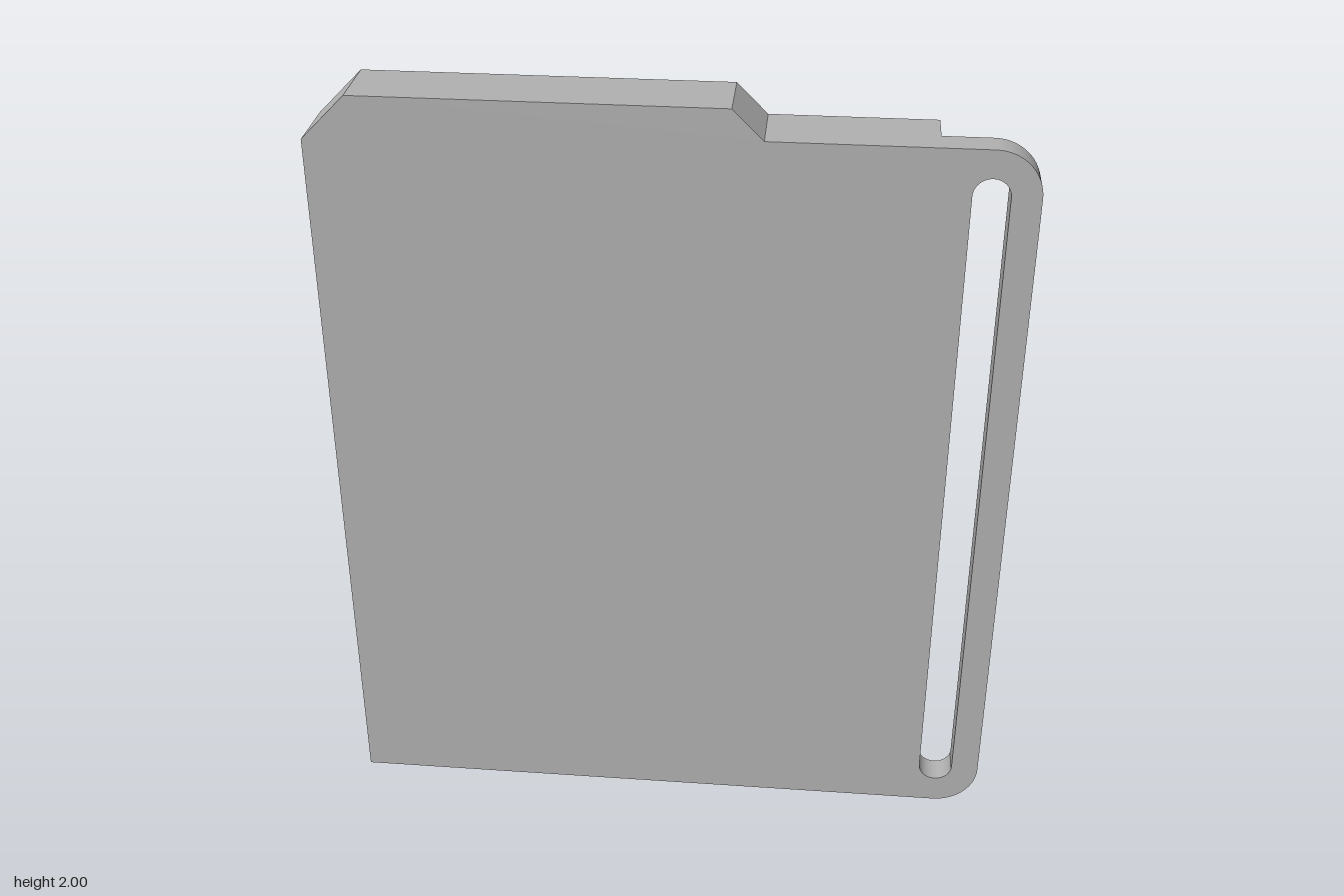
import * as THREE from 'three';

const FRONT = 0.0865, FLOOR = 0.0135, BACK = -0.0865;

function extrude(shape, z0, z1) {
  const g = new THREE.ExtrudeGeometry(shape, { depth: z1 - z0, bevelEnabled: false, curveSegments: 16 });
  return g.translate(0, 0, z0);
}

// Front plate outline with chamfered tab and rounded slotted edge
function plateShape() {
  const s = new THREE.Shape();
  const r = 0.115, cx = 0.74;
  s.moveTo(-0.855, 0);
  s.lineTo(cx, 0);
  s.absarc(cx, r, r, -Math.PI / 2, 0, false);
  s.lineTo(cx + r, 1.925 - r);
  s.absarc(cx, 1.925 - r, r, 0, Math.PI / 2, false);
  s.lineTo(0.22, 1.925);
  s.lineTo(0.145, 2);
  s.lineTo(-0.745, 2);
  s.lineTo(-0.855, 1.89);
  s.closePath();

  // Long strap slot
  const q = 0.044, y0 = 0.075 + q, y1 = 1.855 - q;
  const slot = new THREE.Path();
  slot.moveTo(cx - q, y0);
  slot.lineTo(cx - q, y1);
  slot.absarc(cx, y1, q, Math.PI, 0, true);
  slot.lineTo(cx + q, y0);
  slot.absarc(cx, y0, q, 0, -Math.PI, true);
  s.holes.push(slot);
  return s;
}

// Three-sided wall of even width, open at the bottom
function wallShape() {
  return new THREE.Shape([
    [-0.855, 0], [-0.78, 0], [-0.78, 1.859], [-0.714, 1.925], [0.114, 1.925], [0.189, 1.85],
    [0.545, 1.85], [0.545, 0], [0.62, 0], [0.62, 1.925], [0.22, 1.925], [0.145, 2],
    [-0.745, 2], [-0.855, 1.89],
  ].map(([x, y]) => new THREE.Vector2(x, y)));
}

export function createModel() {
  const group = new THREE.Group();
  const grey = new THREE.MeshStandardMaterial({ color: 0xb2b2b2 });
  grey.name = 'grey plastic';

  const add = (name, geometry) => {
    const mesh = new THREE.Mesh(geometry, grey);
    mesh.name = name;
    group.add(mesh);
    return mesh;
  };

  add('frontPlate', extrude(plateShape(), FLOOR, FRONT));
  add('surroundingWall', extrude(wallShape(), BACK, FLOOR));

  // Hollow screw posts on the inner floor
  const ring = new THREE.Shape().absarc(0, 0, 0.055, 0, Math.PI * 2, false);
  ring.holes.push(new THREE.Path().absarc(0, 0, 0.027, 0, Math.PI * 2, true));
  const post = extrude(ring, -0.035, FLOOR);
  [[0.088, 1.85], [-0.59, 1.85], [0.435, 0.385], [-0.71, 0.34]].forEach(([x, y], i) => {
    add('screwPost' + (i + 1), post).position.set(x, y, 0);
  });

  return group;
}
